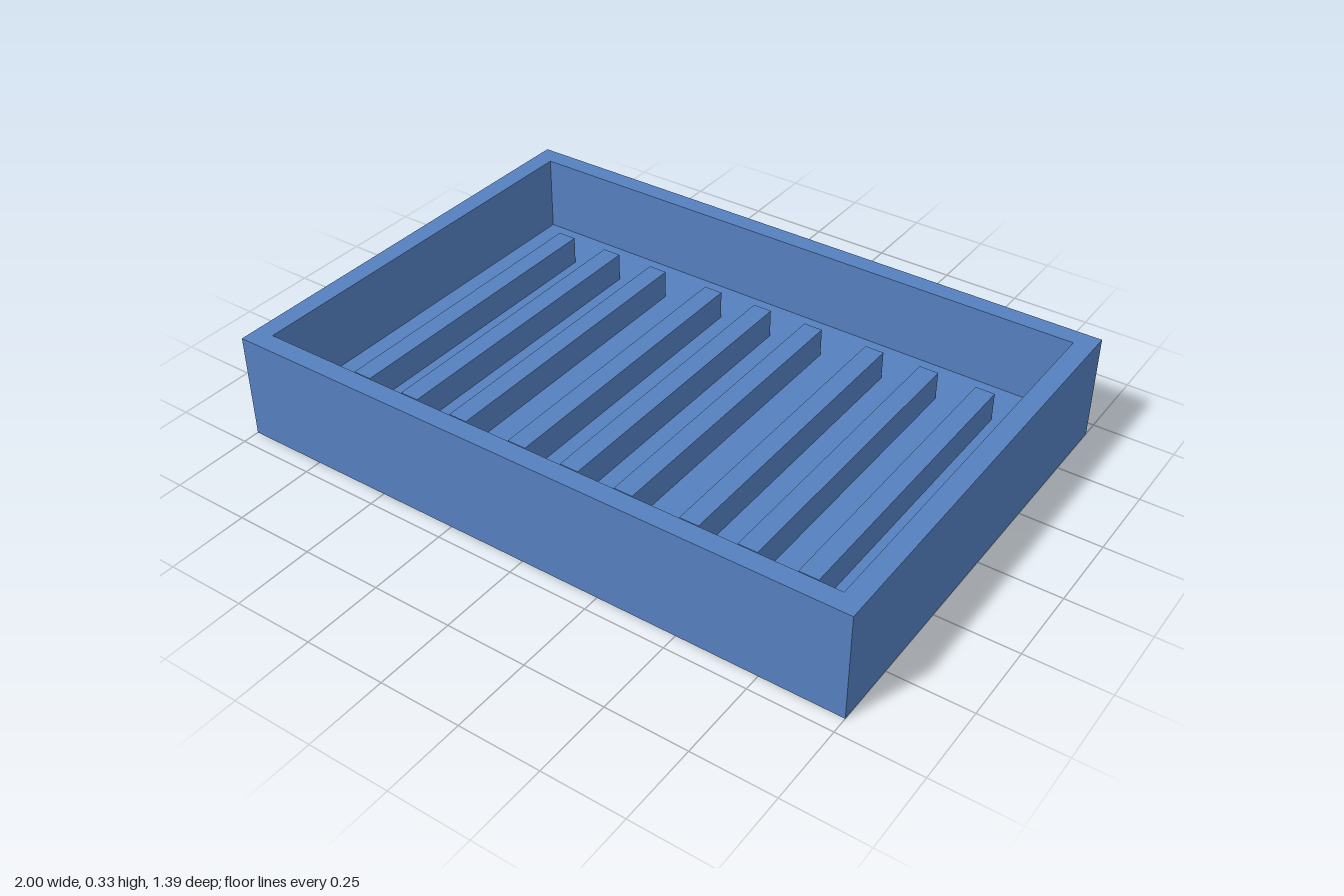
import * as THREE from 'three';

const U = 1 / 33; // modelling unit: the tray is 66 x 46 x 11 units

export function createModel() {
  const model = new THREE.Group();
  model.name = 'ribbedTray';
  const blue = new THREE.MeshStandardMaterial({ color: 0x5580bf });
  blue.name = 'blue';

  const add = (name, geometry, x = 0, y = 0, z = 0) => {
    const mesh = new THREE.Mesh(geometry, blue);
    mesh.name = name;
    mesh.position.set(x * U, y * U, z * U);
    model.add(mesh);
  };
  const box = (w, h, d) => new THREE.BoxGeometry(w * U, h * U, d * U);
  const rectangle = (Type, w, d) => new Type([
    [-w, -d], [w, -d], [w, d], [-w, d],
  ].map(([x, y]) => new THREE.Vector2((x * U) / 2, (y * U) / 2)));

  // Outer wall: rectangular frame extruded upwards
  const outline = rectangle(THREE.Shape, 66, 46);
  outline.holes.push(rectangle(THREE.Path, 62, 42));
  const wall = new THREE.ExtrudeGeometry(outline, { depth: 11 * U, bevelEnabled: false });
  wall.rotateX(-Math.PI / 2);
  add('wall', wall);

  // Floor plate inside the wall
  add('floor', box(62, 3, 42), 0, 1.5, 0);

  // Three groups of three raised ribs
  for (const group of [-19, 0, 19]) {
    for (const offset of [-6, 0, 6]) {
      add('rib', box(2, 3, 32), group + offset, 4.5, 0);
    }
  }
  return model;
}
